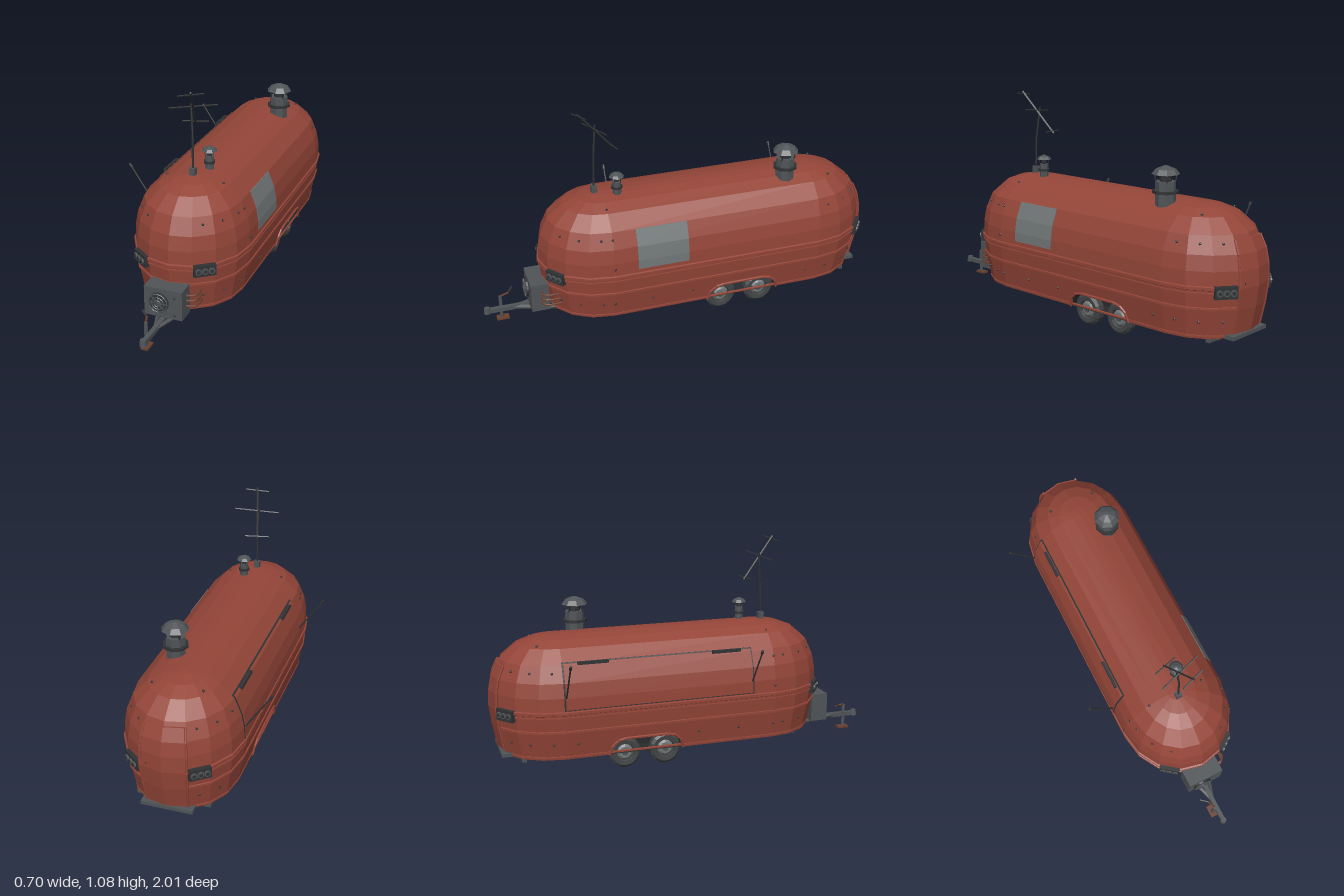
import * as THREE from 'three';

const CX = 0.06, HALF = 0.28, CAP = 0.32, ZF = 0.39, ZR = -0.68;
// Body profile: [height, footprint scale]
const PROFILE = [[0.085, 0.875], [0.22, 0.96], [0.32, 1], [0.4, 0.99], [0.47, 0.945], [0.55, 0.83],
  [0.615, 0.59], [0.643, 0.36], [0.655, 0.14], [0.657, 0]];

const paint = (name, color, side = THREE.FrontSide) => {
  const m = new THREE.MeshStandardMaterial({ color, side, flatShading: true });
  m.name = name;
  return m;
};

function scaleAt(y) {
  for (let i = 1; i < PROFILE.length; i++) {
    const [y0, f0] = PROFILE[i - 1], [y1, f1] = PROFILE[i];
    if (y <= y1) return f0 + (f1 - f0) * (y - y0) / (y1 - y0);
  }
  return 0;
}

// Footprint corner k (0-8 front cap, 9-17 rear cap)
function corner(k, f, y) {
  const front = k < 9, a = (front ? k : k - 1) * Math.PI / 8;
  return [CX + HALF * f * Math.cos(a), y, (front ? ZF : ZR) + CAP * f * Math.sin(a)];
}
const ring = (f, y) => Array.from({ length: 18 }, (_, k) => corner(k, f, y));
const sidePoint = (s, z, f, y) => [CX + s * HALF * f, y, z];

// Faces between successive rows of points
function loft(rows, closed = false, skip = () => false) {
  const pos = [], n = rows[0].length;
  for (let r = 0; r + 1 < rows.length; r++) {
    for (let i = 0; i < (closed ? n : n - 1); i++) {
      if (skip(r, i)) continue;
      const j = (i + 1) % n, lo = rows[r], hi = rows[r + 1];
      pos.push(...lo[i], ...hi[i], ...lo[j], ...hi[i], ...hi[j], ...lo[j]);
    }
  }
  const g = new THREE.BufferGeometry();
  g.setAttribute('position', new THREE.Float32BufferAttribute(pos, 3));
  g.computeVertexNormals();
  return g;
}

// Raised plate that follows the body between two heights
function plate(path, y0, y1, raise) {
  const ys = [y0, ...PROFILE.map(p => p[0]).filter(y => y > y0 && y < y1), y1];
  const row = (y, up) => {
    const top = path(scaleAt(y) + up, y), low = path(scaleAt(y) - 0.01, y);
    return [low[0], ...top, low[low.length - 1]];
  };
  return loft([row(y0, -0.01), ...ys.map(y => row(y, raise)), row(y1, -0.01)]);
}

export function createModel() {
  const model = new THREE.Group();
  const red = paint('red paint', 0x944538, THREE.DoubleSide);
  const grey = paint('grey metal', 0x505457);
  const dark = paint('dark metal', 0x303234);
  const floorDark = paint('dark underside', 0x292a2c, THREE.DoubleSide);
  const light = paint('pale grey', 0x717677);
  const rubber = paint('tyre rubber', 0x424445);
  const copper = paint('rusty brown', 0x6a4030);

  const add = (name, geo, mat, x = 0, y = 0, z = 0, parent = model) => {
    const m = new THREE.Mesh(geo, mat);
    m.name = name;
    m.position.set(x, y, z);
    parent.add(m);
    return m;
  };
  const box = (name, mat, w, h, d, x, y, z, p) => add(name, new THREE.BoxGeometry(w, h, d), mat, x, y, z, p);
  const cyl = (name, mat, r0, r1, h, x, y, z, n = 8, p = model) =>
    add(name, new THREE.CylinderGeometry(r0, r1, h, n), mat, x, y, z, p);
  const rod = (name, mat, a, b, r, n = 6) => {
    const A = new THREE.Vector3(...a), d = new THREE.Vector3(...b).sub(A);
    const m = cyl(name, mat, r, r, d.length(), 0, 0, 0, n);
    m.position.copy(A).addScaledVector(d, 0.5);
    m.quaternion.setFromUnitVectors(new THREE.Vector3(0, 1, 0), d.normalize());
    return m;
  };

  // Shell, open at the lower side walls for the wheel arches
  add('bodyShell', loft(PROFILE.map(([y, f]) => ring(f, y)), true,
    (r, i) => r === 0 && (i === 8 || i === 17)), red);
  add('floor', loft([ring(0.87, 0.087), ring(0, 0.087)], true), floorDark);

  // Lower side walls, wheel wells and arch lips
  const arch = [[-0.465, 0.085], [-0.452, 0.13], [-0.42, 0.158], [-0.38, 0.167],
    [-0.175, 0.167], [-0.135, 0.158], [-0.103, 0.13], [-0.09, 0.085]];
  const wall = new THREE.Shape([[ZR, 0.085], ...arch, [ZF, 0.085], [ZF, 0.22], [ZR, 0.22]]
    .map(p => new THREE.Vector2(...p)));
  for (const s of [-1, 1]) {
    const g = new THREE.ShapeGeometry(wall), p = g.attributes.position;
    for (let i = 0; i < p.count; i++) {
      const z = p.getX(i), y = p.getY(i);
      p.setXYZ(i, ...sidePoint(s, z, scaleAt(y), y));
    }
    if (s > 0) g.index.array.reverse();
    g.computeVertexNormals();
    add('lowerSideWall', g, red);
    const at = off => arch.map(([z, y]) => sidePoint(s, z, scaleAt(y) + off, y));
    add('wheelWell', loft([at(0), at(-0.4)]), floorDark);
    box('wheelWellWall', floorDark, 0.004, 0.085, 0.375, CX + s * 0.14, 0.126, -0.278);
    const lip = at(0.012);
    for (let i = 1; i < lip.length; i++) rod('archLip', red, lip[i - 1], lip[i], 0.007);
  }

  // Raised belts around the shell
  for (const [y, h, o] of [[0.325, 0.011, 0.025], [0.303, 0.005, 0.014], [0.23, 0.008, 0.022], [0.098, 0.006, 0.012]]) {
    const f = scaleAt(y);
    add('beltTrim', loft([ring(f - 0.01, y - h), ring(f + o, y - h * 0.6),
      ring(f + o, y + h * 0.6), ring(f - 0.01, y + h)], true), red);
  }

  // Side window, serving hatch and rear door
  const side = (s, a, b) => (f, y) => [sidePoint(s, a, f, y), sidePoint(s, b, f, y)];
  add('sideWindow', plate(side(1, 0.018, 0.275), 0.355, 0.55, 0.012), light);
  add('hatchFrame', plate(side(-1, 0.275, -0.685), 0.338, 0.562, 0.008), dark);
  add('hatchPanel', plate(side(-1, 0.268, -0.678), 0.343, 0.557, 0.022), red);
  for (const z of [-0.535, 0.14]) box('hatchHinge', dark, 0.014, 0.014, 0.15, -0.178, 0.557, z);
  for (const z of [0.265, -0.675]) {
    rod('hatchStrut', dark, [-0.215, 0.395, z], [-0.34, 0.58, z], 0.004);
    rod('strutTip', dark, [-0.333, 0.57, z], [-0.345, 0.588, z], 0.007);
  }
  const rear = (f, y) => [12, 13, 14].map(k => corner(k, f, y));
  add('rearDoor', plate(rear, 0.11, 0.53, 0.028), red);
  for (const k of [12, 14]) {
    const edge = [0.11, 0.22, 0.32, 0.4, 0.47, 0.53].map(y => corner(k, scaleAt(y) + 0.03, y));
    for (let i = 1; i < edge.length; i++) rod('doorEdge', red, edge[i - 1], edge[i], 0.006);
  }
  box('doorHandle', dark, 0.04, 0.01, 0.012, 0.12, 0.34, -0.985);
  box('rearStep', grey, 0.25, 0.018, 0.06, CX, 0.094, -0.94);

  // Light clusters on the corner facets
  for (const k of [2, 5, 11, 14]) {
    const [x0, , z0] = corner(k, 1, 0), [x1, , z1] = corner(k + 1, 1, 0);
    const g = new THREE.Group();
    g.name = 'lightCluster';
    g.position.set((x0 + x1) / 2, 0.309, (z0 + z1) / 2);
    g.rotation.y = Math.atan2(z1 - z0, x0 - x1);
    model.add(g);
    box('lightPlate', dark, 0.104, 0.056, 0.03, 0, 0, 0.004, g);
    for (const x of [-0.031, 0, 0.031]) {
      cyl('lampRing', grey, 0.015, 0.015, 0.012, x, 0, 0.02, 10, g).rotation.x = Math.PI / 2;
      cyl('lampLens', dark, 0.009, 0.009, 0.004, x, 0, 0.026, 10, g).rotation.x = Math.PI / 2;
    }
  }

  // Bolts
  const bolt = p => add('bolt', new THREE.IcosahedronGeometry(0.007, 0), dark, ...p);
  for (const k of [0, 1, 2, 5, 6, 7, 9, 10, 11, 14, 15, 16]) for (const y of [0.165, 0.515]) {
    const f = scaleAt(y), a = corner(k, f, y), b = corner(k + 1, f, y);
    bolt(a.map((v, i) => (v + b[i]) / 2));
  }
  for (const s of [-1, 1]) {
    for (const z of [0.39, -0.78]) bolt(sidePoint(s, z, scaleAt(0.625) * (z < ZR ? 0.85 : 1), 0.625));
    for (const z of [0.39, 0.2, -0.01, -0.62]) bolt(sidePoint(s, z, scaleAt(0.163), 0.163));
    bolt(sidePoint(s, 0.39, scaleAt(0.37), 0.37));
    bolt(sidePoint(s, 0.39, scaleAt(0.515), 0.515));
  }

  // Wheels and axles
  for (const z of [-0.173, -0.38]) {
    rod('axle', grey, [CX - 0.2, 0.078, z], [CX + 0.2, 0.078, z], 0.012, 8);
    for (const s of [-1, 1]) {
      const g = new THREE.Group();
      g.name = 'wheel';
      g.position.set(CX + s * 0.2, 0.079, z);
      g.rotation.z = -s * Math.PI / 2;
      model.add(g);
      const tyre = [[0.03, -0.022], [0.066, -0.026], [0.079, -0.015], [0.079, 0.015], [0.066, 0.026], [0.046, 0.024], [0.043, 0.012], [0, 0.012]];
      add('tyre', new THREE.LatheGeometry(tyre.map(p => new THREE.Vector2(...p)), 16), rubber, 0, 0, 0, g);
      cyl('hub', light, 0.03, 0.042, 0.01, 0, 0.016, 0, 12, g);
      cyl('hubCap', grey, 0.014, 0.017, 0.016, 0, 0.02, 0, 8, g);
      box('axleBracket', grey, 0.04, 0.03, 0.05, CX + s * 0.105, 0.062, z);
    }
  }

  // Chassis frame
  for (const s of [-1, 1]) {
    box('chassisRail', grey, 0.022, 0.02, 1.42, CX + s * 0.105, 0.076, -0.17);
    rod('drawbarArm', grey, [CX + s * 0.105, 0.078, 0.53], [CX, 0.078, 0.86], 0.011, 4);
  }
  for (const z of [-0.87, -0.62, 0.02, 0.28, 0.53]) box('crossMember', grey, 0.36, 0.016, 0.022, CX, 0.077, z);

  // Drawbar, coupler and jack
  box('drawbar', grey, 0.022, 0.022, 0.32, CX, 0.079, 0.82);
  cyl('coupler', grey, 0.015, 0.018, 0.03, CX, 0.082, 0.982, 8);
  rod('jackPost', grey, [0.04, 0.015, 0.91], [0.04, 0.14, 0.91], 0.009, 8);
  box('jackFoot', copper, 0.036, 0.01, 0.062, 0.04, 0.014, 0.905);
  rod('jackCrank', copper, [0.04, 0.14, 0.91], [0.025, 0.142, 0.868], 0.005);
  rod('jackHandle', dark, [0.025, 0.142, 0.868], [-0.01, 0.152, 0.842], 0.005);

  // Front cooling unit with fan and pipes
  box('coolingUnit', grey, 0.188, 0.146, 0.09, CX, 0.163, 0.727);
  cyl('fanHousing', dark, 0.048, 0.05, 0.012, 0.04, 0.166, 0.775, 14).rotation.x = Math.PI / 2;
  for (const r of [0.016, 0.03, 0.046]) add('fanGuard', new THREE.TorusGeometry(r, 0.003, 4, 16), grey, 0.04, 0.166, 0.792 - r * 0.15);
  for (let i = 0; i < 4; i++) box('fanSpoke', grey, 0.092, 0.004, 0.004, 0.04, 0.166, 0.785).rotation.z = i * Math.PI / 4;
  for (const y of [0.112, 0.2]) bolt([0.118, y, 0.772]);
  for (const y of [0.142, 0.17, 0.197]) {
    const path = new THREE.CatmullRomCurve3([[0.145, y, 0.72], [0.185, y, 0.715], [0.196, y, 0.69], [0.19, y - 0.004, 0.62]]
      .map(p => new THREE.Vector3(...p)));
    add('coolantPipe', new THREE.TubeGeometry(path, 8, 0.006, 6), copper);
  }

  // Roof chimneys: pipe, collar, posts and cap
  for (const [x, z, base, top, cap, r, capR] of [[0.155, -0.55, 0.62, 0.742, 0.775, 0.048, 0.066], [0.1, 0.31, 0.64, 0.718, 0.742, 0.022, 0.038]]) {
    cyl('chimneyPipe', grey, r, r, top - base, x, (top + base) / 2, z);
    cyl('chimneyCollar', dark, r * 1.3, r * 1.3, 0.012, x, base + (top - base) * 0.6, z);
    cyl('chimneyNeck', dark, r * 0.6, r * 0.6, cap - top + 0.01, x, (cap + top) / 2, z);
    for (let i = 0; i < 4; i++) {
      const a = i * Math.PI / 2 + Math.PI / 4, c = Math.cos(a) * r, d = Math.sin(a) * r;
      rod('capPost', dark, [x + c * 0.9, top - 0.01, z + d * 0.9], [x + c * 1.1, cap + 0.004, z + d * 1.1], r * 0.08, 4);
    }
    const h = capR * 0.58;
    cyl('chimneyCapRim', grey, capR * 0.72, capR, h * 0.6, x, cap + h * 0.3, z);
    cyl('chimneyCapTop', grey, capR * 0.15, capR * 0.72, h * 0.4, x, cap + h * 0.8, z);
  }

  // Roof aerial
  box('aerialBase', grey, 0.028, 0.04, 0.028, CX, 0.67, 0.415);
  rod('aerialMast', dark, [0.06, 0.68, 0.415], [0.058, 0.84, 0.41], 0.005);
  rod('aerialMast', dark, [0.058, 0.84, 0.41], [0.045, 1.0, 0.395], 0.005);
  rod('aerialBoom', dark, [0.03, 0.87, 0.308], [0.082, 1.08, 0.485], 0.006, 4);
  rod('aerialElement', dark, [-0.048, 0.974, 0.435], [0.167, 0.998, 0.37], 0.004, 4);
  rod('aerialElement', dark, [0.022, 1.06, 0.497], [0.137, 1.075, 0.46], 0.004, 4);
  rod('aerialElement', dark, [-0.026, 0.879, 0.33], [0.093, 0.882, 0.3], 0.004, 4);
  return model;
}
